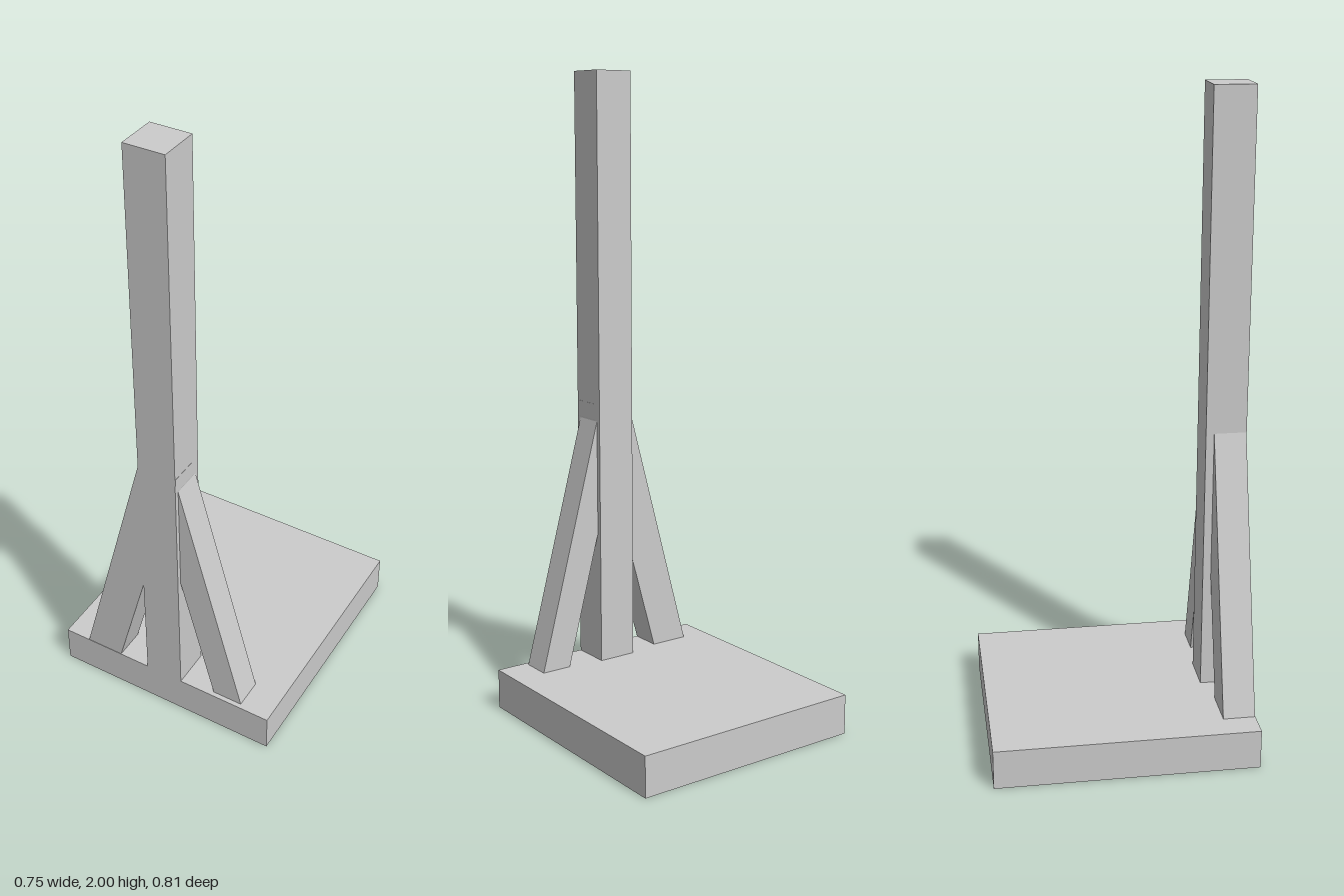
import * as THREE from 'three';

export function createModel() {
  const group = new THREE.Group();
  const material = new THREE.MeshStandardMaterial({ color: 0xcccccc, flatShading: true });

  function add(name, geometry) {
    const mesh = new THREE.Mesh(geometry, material);
    mesh.name = name;
    group.add(mesh);
    return mesh;
  }

  function box(name, w, h, d, x, y, z) {
    add(name, new THREE.BoxGeometry(w, h, d)).position.set(x, y, z);
  }

  // Slanted brace: an xy outline extruded from z0 to z1
  function brace(name, points, z0, z1) {
    const shape = new THREE.Shape(points.map(([x, y]) => new THREE.Vector2(x, y)));
    const geometry = new THREE.ExtrudeGeometry(shape, { depth: z1 - z0, bevelEnabled: false });
    add(name, geometry.translate(0, 0, z0));
  }

  // Base slab, with the post standing flush with its front edge
  box('base', 0.75, 0.125, 0.81, 0, 0.0625, 0);
  box('post', 0.125, 1.875, 0.125, 0, 1.0625, 0.3425);

  // Right brace is flush with the front; its end passes just through the post
  brace('rightBrace', [
    [-0.29, 0.125], [-0.165, 0.125], [-0.0625, 0.495], [0.0632, 0.92],
    [0.0632, 0.97], [-0.0625, 0.97],
  ], 0.305, 0.404);

  // Left brace is slimmer and set slightly back
  brace('leftBrace', [
    [0.175, 0.125], [0.273, 0.125], [0.0625, 0.915], [0.05, 0.915], [0.05, 0.595],
  ], 0.295, 0.39);

  return group;
}
